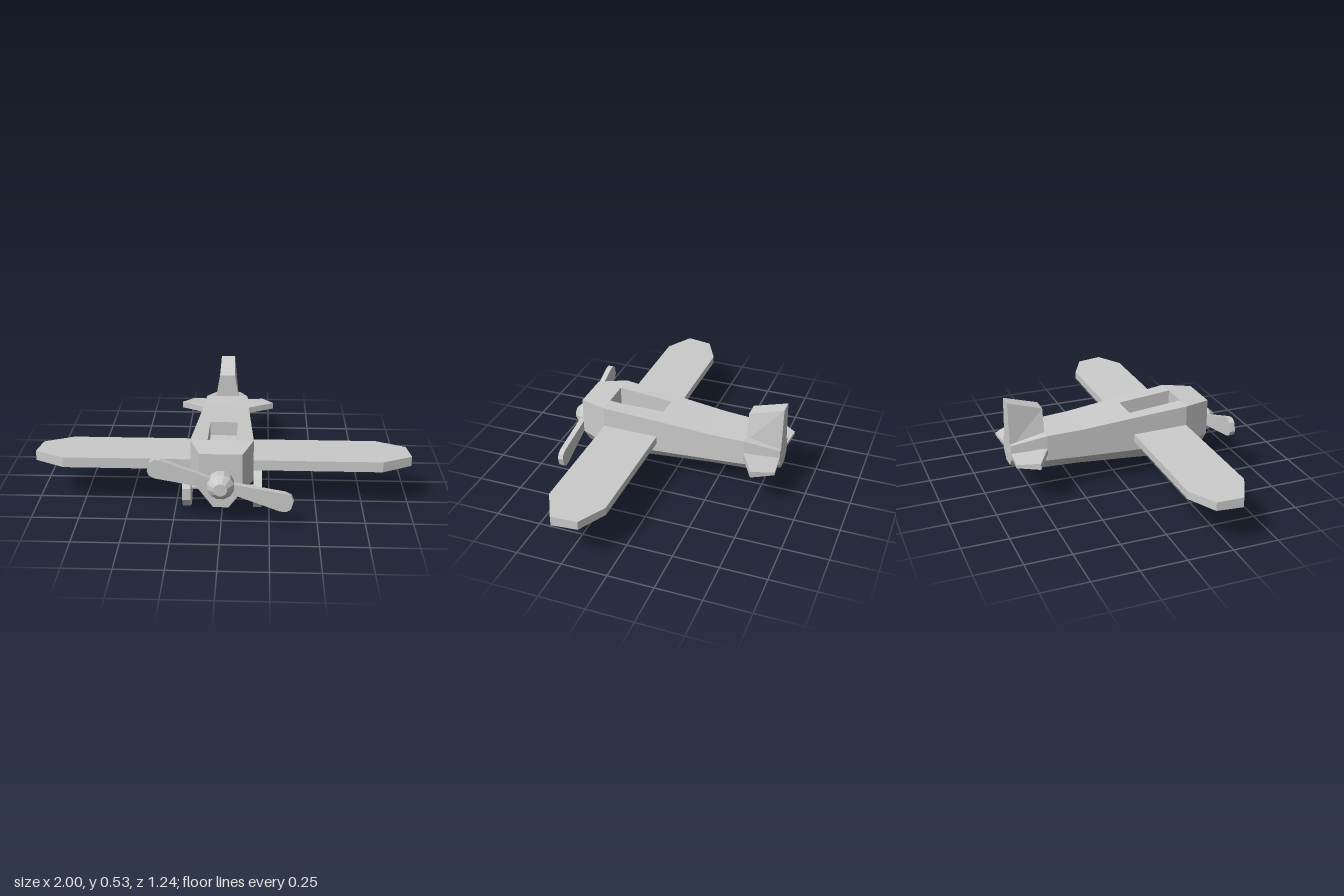
import * as THREE from 'three';

const material = new THREE.MeshStandardMaterial({ color: 0xcccccc, flatShading: true });
const thinMaterial = new THREE.MeshStandardMaterial({ color: 0xcccccc, flatShading: true, side: THREE.DoubleSide });

function named(name, geometry, mat = material) {
  const mesh = new THREE.Mesh(geometry, mat);
  mesh.name = name;
  return mesh;
}

// Joins equal-length rings of [x, y, z]; each ring runs clockwise seen from the first ring's outer side.
function loft(rings, { skip = () => false, endCap = true } = {}) {
  const pos = [];
  const tri = (a, b, c) => pos.push(...a, ...b, ...c);
  const n = rings[0].length;
  for (let r = 0; r < rings.length - 1; r++) {
    for (let i = 0; i < n; i++) {
      if (skip(r, i)) continue;
      const j = (i + 1) % n;
      const [a, b] = [rings[r], rings[r + 1]];
      tri(a[i], a[j], b[j]);
      tri(a[i], b[j], b[i]);
    }
  }
  const first = rings[0], last = rings[rings.length - 1];
  for (let i = 1; i < n - 1; i++) {
    tri(first[0], first[i + 1], first[i]);
    if (endCap) tri(last[0], last[i], last[i + 1]);
  }
  const g = new THREE.BufferGeometry();
  g.setAttribute('position', new THREE.Float32BufferAttribute(pos, 3));
  g.computeVertexNormals();
  return g;
}

// Slab from an [x, z] outline, with its upper height set by a rule in z
function slab(outline, bottom, topAt) {
  return loft([
    outline.map(([x, z]) => [x, topAt(z), z]),
    outline.map(([x, z]) => [x, bottom, z]),
  ]);
}

export function createModel() {
  const plane = new THREE.Group();
  plane.name = 'airplane';

  // Fuselage sections: z, half width, top, side crease, bottom, bottom half width, inner top half width
  const sections = [
    [0.53, 0.11, 0.395, 0.19, 0.095, 0.04, 0.06],
    [0.375, 0.165, 0.405, 0.175, 0.058, 0.042, 0.075],
    [0.07, 0.147, 0.378, 0.183, 0.084, 0.04, 0.075],
    [-0.23, 0.13, 0.35, 0.19, 0.108, 0.038, 0.06],
    [-0.42, 0.12, 0.342, 0.197, 0.115, 0.036, 0.055],
    [-0.61, 0.075, 0.295, 0.21, 0.165, 0.034, 0.04],
  ];
  const rings = sections.map(([z, w, top, mid, low, lw, iw]) => [
    [-w, top, z], [-iw, top, z], [iw, top, z], [w, top, z],
    [w, mid, z], [lw, low, z], [-lw, low, z], [-w, mid, z],
  ]);
  // The top panel between the second and third sections is left open for the cockpit
  plane.add(named('fuselage', loft(rings, { skip: (r, i) => r === 1 && i === 1 })));

  // Cockpit well
  const well = [[-0.075, 0.07, 0.378], [0.075, 0.07, 0.378], [0.075, 0.375, 0.405], [-0.075, 0.375, 0.405]];
  plane.add(named('cockpit', loft([
    well.map(([x, z]) => [x, 0.3, z]),
    well.map(([x, z, y]) => [x, y, z]),
  ], { endCap: false }), thinMaterial));

  // Main wing, one slab through the body
  const wing = [
    [-0.83, 0.07], [0.83, 0.07], [0.985, 0.15], [1, 0.29], [0.84, 0.375],
    [-0.84, 0.375], [-1, 0.29], [-0.985, 0.15],
  ];
  plane.add(named('wing', slab(wing, 0.235, z => 0.292 - 0.045 * (0.375 - z))));

  // Tailplanes
  const tail = [[0.03, -0.605], [0.21, -0.62], [0.275, -0.505], [0.12, -0.42], [0.03, -0.42]];
  const tailTop = z => (z > -0.51 ? 0.268 : 0.25);
  plane.add(named('leftTailplane', slab(tail, 0.232, tailTop)));
  plane.add(named('rightTailplane', slab(tail.map(([x, z]) => [-x, z]).reverse(), 0.232, tailTop)));

  // Fin, wider at its foot
  const fin = (back, front, yBack, yFront) => [
    [-back, yBack, -0.61], [back, yBack, -0.61], [front, yFront, -0.42], [-front, yFront, -0.42],
  ];
  plane.add(named('fin', loft([fin(0.04, 0.044, 0.53, 0.472), fin(0.058, 0.07, 0.27, 0.32)])));

  // Propeller and hub
  const propeller = new THREE.Group();
  propeller.name = 'propeller';
  propeller.position.set(0, 0.235, 0.53);
  propeller.rotation.z = -0.27;
  const blade = new THREE.Shape([
    [0.03, -0.025], [0.33, -0.052], [0.362, -0.046], [0.38, -0.025],
    [0.38, 0.025], [0.362, 0.046], [0.33, 0.052], [0.03, 0.025],
  ].map(p => new THREE.Vector2(...p)));
  for (const side of [0, 1]) {
    const g = new THREE.ExtrudeGeometry(blade, { depth: 0.03, bevelEnabled: false });
    g.translate(0, 0, 0.01).rotateZ(side * Math.PI);
    propeller.add(named('blade', g));
  }
  const hub = new THREE.LatheGeometry(
    [[0, 0], [0.07, 0], [0.07, 0.05], [0.035, 0.087], [0, 0.087]].map(p => new THREE.Vector2(...p)), 12);
  propeller.add(named('hub', hub.rotateX(Math.PI / 2)));
  plane.add(propeller);

  // Wheels and axle
  for (const side of [-1, 1]) {
    const g = new THREE.CylinderGeometry(0.105, 0.105, 0.044, 10);
    g.rotateZ(Math.PI / 2).rotateX(Math.PI / 2);
    const wheel = named(side > 0 ? 'leftWheel' : 'rightWheel', g);
    wheel.position.set(side * 0.188, 0.105, 0.315);
    plane.add(wheel);
  }
  const axle = named('axle', new THREE.CylinderGeometry(0.016, 0.016, 0.36, 8).rotateZ(Math.PI / 2));
  axle.position.set(0, 0.105, 0.315);
  plane.add(axle);

  return plane;
}
